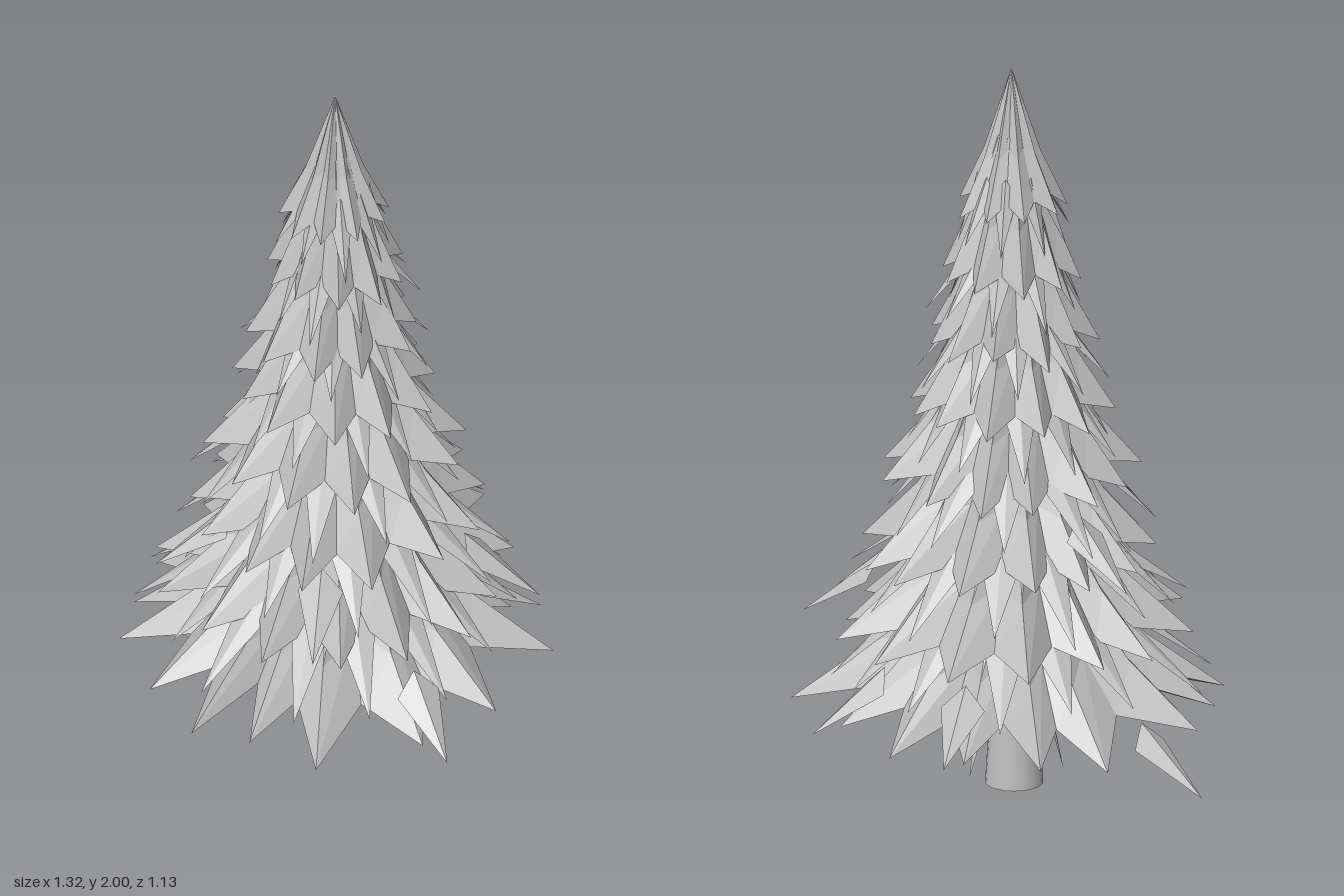
import * as THREE from 'three';

const CX = -0.015, CZ = -0.02; // tree axis

let seed = 7;
const rand = () => (seed = (seed * 16807) % 2147483647) / 2147483647;
const jitter = (v, amount) => v + (rand() * 2 - 1) * amount;

// Point at angle a, radius r and height y around the tree axis
const polar = (a, r, y) => new THREE.Vector3(CX + Math.cos(a) * r, y, CZ + Math.sin(a) * r);

function facets(triangles) {
  const g = new THREE.BufferGeometry().setFromPoints(triangles.flat());
  g.computeVertexNormals();
  return g;
}

// Pleated skirt: ridges run to pointed tips, creases to the notches between them
function skirtTriangles(tips, topY, topR, hubY, notchRise) {
  const n = tips.length, tris = [];
  const columns = [];
  tips.forEach((t, i) => {
    const next = tips[(i + 1) % n];
    const span = (next.a - t.a + Math.PI * 2) % (Math.PI * 2);
    const va = t.a + span / 2;
    const vr = Math.min(t.r, next.r) * 0.72, vy = (t.y + next.y) / 2 + notchRise;
    for (const [a, r, y, bulge] of [[t.a, t.r, t.y, 0.52], [va, vr, vy, 0.5]]) {
      const midR = topR + (r - topR) * bulge;
      columns.push([
        polar(a, topR, topY),
        polar(a, midR, topY + (y - topY) * 0.6),
        polar(a, r, y),
        polar(a, 0.045, hubY), // underside closes toward the trunk
      ]);
    }
  });
  columns.forEach((c, i) => {
    const d = columns[(i + 1) % columns.length];
    for (let k = 0; k < 3; k++) {
      tris.push([c[k], d[k], d[k + 1]], [c[k], d[k + 1], c[k + 1]]);
    }
  });
  return tris;
}

// Folded arrowhead leaf running from its base to a tip in one radial plane
function leafTriangles(a, baseR, baseY, tipR, tipY, halfWidth, lift) {
  const base = polar(a, baseR, baseY), tip = polar(a, tipR, tipY);
  const dir = tip.clone().sub(base);
  const side = new THREE.Vector3(-Math.sin(a), 0, Math.cos(a));
  const up = dir.clone().cross(side).normalize();
  if (up.y < 0) up.negate();
  const left = base.clone().addScaledVector(side, halfWidth);
  const right = base.clone().addScaledVector(side, -halfWidth);
  const ridge = base.clone().addScaledVector(up, lift).addScaledVector(dir, -0.25);
  return [[tip, left, ridge], [tip, ridge, right], [tip, right, left], [left, right, ridge]];
}

export function createModel() {
  const tree = new THREE.Group();
  tree.name = 'pineTree';
  const needleGrey = new THREE.MeshStandardMaterial({ color: 0xc0c0c0, flatShading: true, side: THREE.DoubleSide });
  needleGrey.name = 'needleGrey';
  const trunkGrey = new THREE.MeshStandardMaterial({ color: 0xc0c0c0 });
  trunkGrey.name = 'trunkGrey';

  const add = (name, geometry, material = needleGrey) => {
    const mesh = new THREE.Mesh(geometry, material);
    mesh.name = name;
    tree.add(mesh);
    return mesh;
  };

  // Trunk
  add('trunk', new THREE.CylinderGeometry(0.045, 0.077, 0.5, 24), trunkGrey).position.set(CX - 0.005, 0.25, CZ + 0.005);

  // Tiers from the top down: edge height, tip radius, number of tips
  const tiers = [
    [1.615, 0.145, 9], [1.425, 0.19, 10], [1.24, 0.225, 10], [1.05, 0.275, 11],
    [0.86, 0.335, 12], [0.655, 0.4, 13], [0.44, 0.465, 14],
  ];
  const leaves = [];
  tiers.forEach(([y, r, n], i) => {
    const angle = (k) => ((k + i * 0.5) / n) * Math.PI * 2 + Math.PI / 2;
    const tips = [];
    for (let k = 0; k < n; k++) {
      tips.push({ a: jitter(angle(k), 0.06), r: jitter(r, r * 0.07), y: jitter(y, 0.015) });
    }
    const topR = i === 0 ? 0.002 : r * 0.24;
    const topY = i === 0 ? 2 : y + 0.4;
    add('branchTier' + (i + 1), facets(skirtTriangles(tips, topY, topR, y + 0.11, 0.04)));

    // Leaves emerging from the notches below the edge
    for (let k = 0; k < n; k++) {
      const tipR = jitter(r * 1.07 + 0.005, 0.02 + i * 0.005);
      const tipY = jitter(y - 0.085 - i * 0.006, 0.02);
      leaves.push(...leafTriangles(jitter(angle(k + 0.5), 0.08), r * 0.6, y + 0.06, tipR, tipY, 0.032 + i * 0.005, 0.018));
    }
  });
  add('leaves', facets(leaves));

  // Lowest tier with uneven tips, given as x, z
  const lowTips = [
    [0.49, 0.08], [0.39, 0.36], [0.22, 0.45], [0.11, 0.56], [-0.12, 0.52],
    [-0.33, 0.46], [-0.43, 0.33], [-0.53, 0.17], [-0.53, -0.16],
    [-0.44, -0.32], [-0.25, -0.42], [-0.07, -0.52], [0.18, -0.46], [0.41, -0.42], [0.51, -0.15],
  ].map(([x, z]) => ({ a: Math.atan2(z - CZ, x - CX), r: Math.hypot(x - CX, z - CZ), y: jitter(0.21, 0.03) }));
  add('lowestBranchTier', facets(skirtTriangles(lowTips, 0.64, 0.13, 0.36, 0.07)));

  // Long leaves reaching past the lower tiers: tip x, y, z
  const longLeaves = [
    [0.66, 0.26, 0.13], [-0.66, 0.1, 0.06], [-0.33, 0.25, -0.57], [0.21, 0.2, -0.535],
    [0.43, 0.45, -0.36], [-0.5, 0.66, -0.06], [-0.25, 0.5, 0.4], [0.35, 0.5, 0.34],
  ].flatMap(([x, y, z]) => {
    const r = Math.hypot(x - CX, z - CZ);
    return leafTriangles(Math.atan2(z - CZ, x - CX), r - 0.18, y + 0.11, r, y, 0.06, 0.035);
  });
  add('longLeaves', facets(longLeaves));

  // Steep leaves drooping around the trunk
  const drooping = [];
  for (let k = 0; k < 6; k++) {
    const a = (k / 6) * Math.PI * 2 + 0.5;
    drooping.push(...leafTriangles(a, 0.08, 0.3, jitter(0.15, 0.015), k % 2 ? 0.15 : 0.05, 0.03, 0.01));
  }
  add('droopingLeaves', facets(drooping));

  return tree;
}
